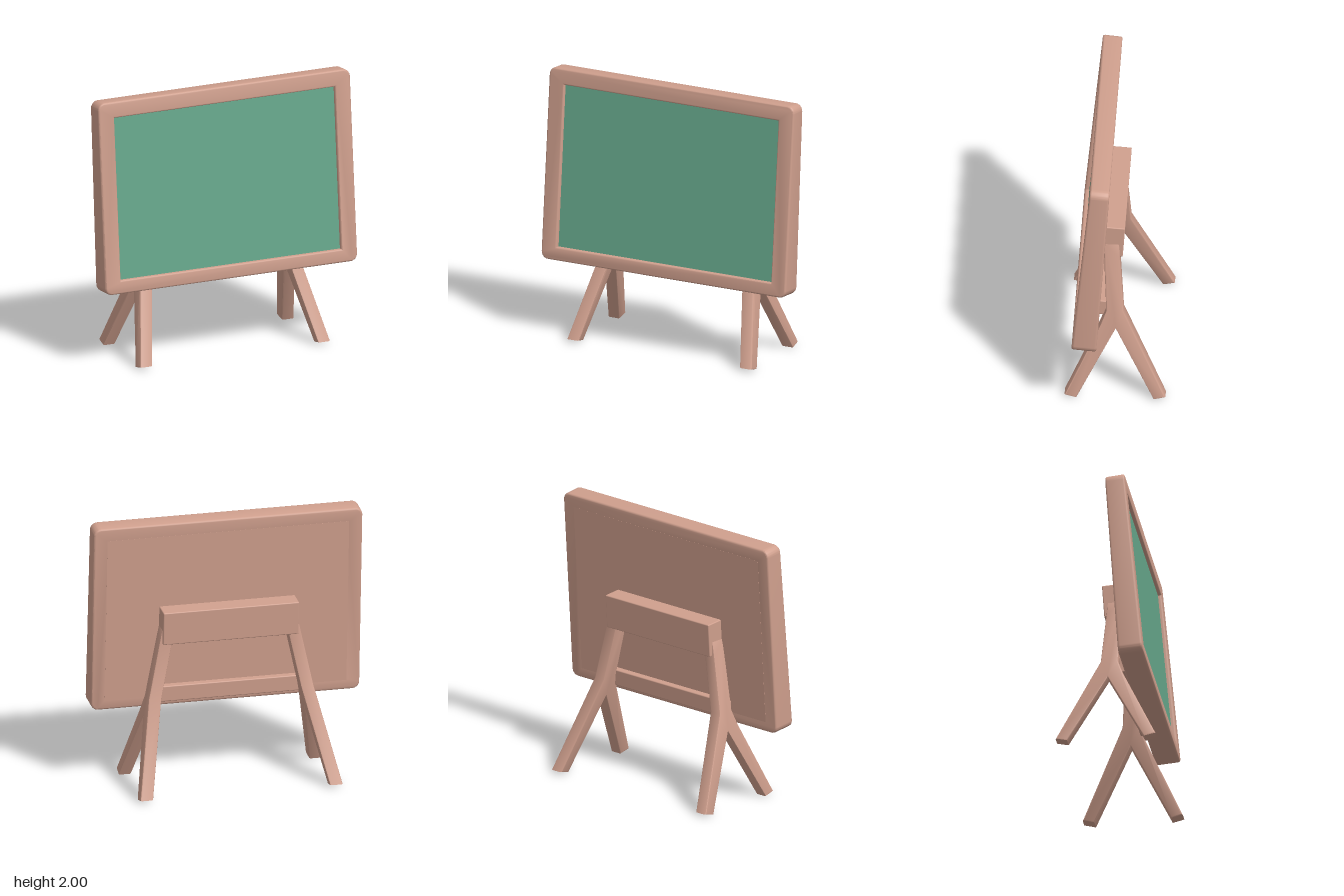
import * as THREE from 'three';
import { toCreasedNormals } from 'three/addons/utils/BufferGeometryUtils.js';
import { RoundedBoxGeometry } from 'three/addons/geometries/RoundedBoxGeometry.js';

const wood = new THREE.MeshStandardMaterial({ color: 0xcf9f8d });
wood.name = 'wood';
const green = new THREE.MeshStandardMaterial({ color: 0x66a78b });
green.name = 'boardGreen';

// Moves every vertex by a rule, then renews the normals
function bend(geometry, rule) {
  const p = geometry.attributes.position;
  const v = new THREE.Vector3();
  for (let i = 0; i < p.count; i++) {
    rule(v.fromBufferAttribute(p, i));
    p.setXYZ(i, v.x, v.y, v.z);
  }
  return toCreasedNormals(geometry, 0.6);
}

// Leans the board back; z runs from 0 (rear face) to 1 (front face)
function lean(v) {
  const t = v.z;
  const back = 0.125 - (v.y - 0.57) * 0.0685;
  const front = 0.305 - (v.y - 0.57) * 0.0965;
  v.z = back + (front - back) * t;
  v.y += 0.015 * t;
}

function addMesh(parent, name, geometry, material) {
  const mesh = new THREE.Mesh(geometry, material);
  mesh.name = name;
  parent.add(mesh);
  return mesh;
}

function roundedRect(w, y0, y1, r) {
  const s = new THREE.Shape();
  s.moveTo(-w + r, y0);
  s.lineTo(w - r, y0).absarc(w - r, y0 + r, r, -Math.PI / 2, 0);
  s.lineTo(w, y1 - r).absarc(w - r, y1 - r, r, 0, Math.PI / 2);
  s.lineTo(-w + r, y1).absarc(-w + r, y1 - r, r, Math.PI / 2, Math.PI);
  s.lineTo(-w, y0 + r).absarc(-w + r, y0 + r, r, Math.PI, Math.PI * 1.5);
  return s;
}

// Slab on the leaning board, spanning depths t0 to t1
function slab(w, y0, y1, t0, t1) {
  const g = new THREE.BoxGeometry(2 * w, y1 - y0, t1 - t0);
  g.translate(0, (y0 + y1) / 2, (t0 + t1) / 2);
  return bend(g, lean);
}

function buildBoard() {
  const board = new THREE.Group();
  board.name = 'board';
  // Frame with soft outer edges
  const outline = roundedRect(1, 0.565, 1.985, 0.055);
  outline.holes.push(new THREE.Path([
    [-0.875, 0.665], [-0.875, 1.865], [0.875, 1.865], [0.875, 0.665],
  ].map(([x, y]) => new THREE.Vector2(x, y))));
  const frame = new THREE.ExtrudeGeometry(outline, {
    depth: 0.8, bevelThickness: 0.1, bevelSize: 0.013, bevelOffset: -0.013,
    bevelSegments: 3, curveSegments: 6,
  });
  frame.translate(0, 0, 0.1);
  addMesh(board, 'frame', bend(frame, lean), wood);
  // Backing fills the frame; the writing surface lies recessed in front
  addMesh(board, 'backing', slab(0.9, 0.64, 1.89, -0.005, 0.78), wood);
  addMesh(board, 'writingSurface', slab(0.876, 0.664, 1.866, 0.78, 0.82), green);
  return board;
}

// Forked leg: side silhouette as [z, y], sheared so the feet splay outwards
const forkProfile = [
  [0.365, 0.02], [0.11, 0.57], [0.07, 0.68], [0.085, 1.0], [0.09, 1.2],
  [-0.02, 1.2], [-0.025, 1.1], [-0.055, 0.68], [-0.365, 0.02],
  [-0.28, 0], [0, 0.54], [0.28, 0],
];

function buildFork(side) {
  const shape = new THREE.Shape(forkProfile.map(([z, y]) => new THREE.Vector2(-z, y)));
  const g = new THREE.ExtrudeGeometry(shape, {
    depth: 0.075, bevelThickness: 0.01, bevelSize: 0.01, bevelOffset: -0.01, bevelSegments: 2,
  });
  g.translate(0, 0, -0.0375);
  g.rotateY(Math.PI / 2);
  return bend(g, (v) => { v.x += side * (0.71 - 0.21 * v.y); });
}

export function createModel() {
  const model = new THREE.Group();
  model.name = 'easelBoard';
  model.add(buildBoard());

  const stand = new THREE.Group();
  stand.name = 'stand';
  model.add(stand);
  addMesh(stand, 'leftLeg', buildFork(1), wood);
  addMesh(stand, 'rightLeg', buildFork(-1), wood);

  // Upper beam joins the legs and props the board
  const beam = addMesh(stand, 'upperBeam', new RoundedBoxGeometry(1.01, 0.25, 0.14, 2, 0.008), wood);
  beam.position.set(0, 1.214, 0.017);
  beam.rotation.x = -0.07;

  // Low ledge against the rear of the board
  const ledge = addMesh(stand, 'lowerLedge', new RoundedBoxGeometry(1.13, 0.12, 0.07, 2, 0.008), wood);
  ledge.position.set(0, 0.67, 0.105);
  ledge.rotation.x = -0.07;

  return model;
}
